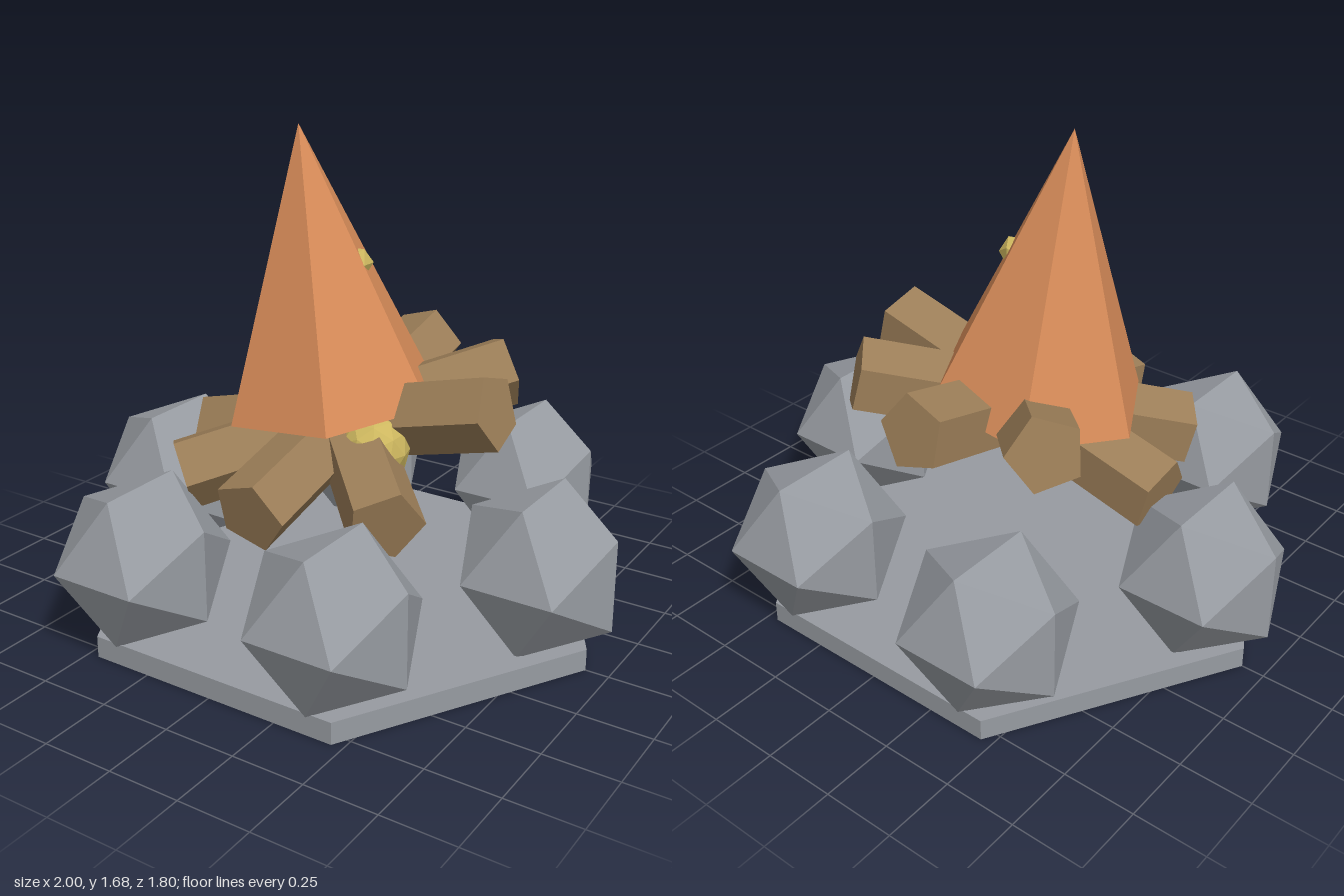
import * as THREE from 'three';

const mat = (name, color) => {
  const m = new THREE.MeshStandardMaterial({ color, flatShading: true });
  m.name = name;
  return m;
};

export function createModel() {
  const stone = mat('stone grey', 0x979ba1);
  const wood = mat('wood brown', 0x9c7e58);
  const fire = mat('flame orange', 0xd88c59);
  const glow = mat('ember yellow', 0xcdb75f);

  const group = new THREE.Group();
  group.name = 'campfire';
  const add = (name, geometry, material, x, y, z) => {
    const mesh = new THREE.Mesh(geometry, material);
    mesh.name = name;
    mesh.position.set(x, y, z);
    group.add(mesh);
    return mesh;
  };

  // Hexagonal slab with corners on the x axis
  const slab = new THREE.CylinderGeometry(0.92, 0.92, 0.075, 6).rotateY(Math.PI / 6);
  add('baseSlab', slab, stone, 0, 0.0375, 0);

  // Ring of six stones, all turned the same way
  const rock = new THREE.IcosahedronGeometry(0.3).rotateY(Math.PI / 2);
  for (let i = 0; i < 6; i++) {
    const a = (i * Math.PI) / 3;
    add('ringStone', rock, stone, 0.745 * Math.cos(a), 0.322, 0.745 * Math.sin(a));
  }

  // Four crossed five-sided logs, each tilted up at one end
  const log = new THREE.CylinderGeometry(0.13, 0.13, 1.17, 5).rotateZ(-Math.PI / 2 + 0.25);
  for (let i = 0; i < 4; i++) {
    add('log', log, wood, 0, 0.678, 0).rotation.y = (i * Math.PI) / 4;
  }

  // Leaning six-sided flame, set between its base centre and its tip
  const foot = new THREE.Vector3(-0.06, 0.743, -0.005);
  const tip = new THREE.Vector3(-0.155, 1.68, 0.05);
  const axis = tip.clone().sub(foot);
  const cone = new THREE.ConeGeometry(0.382, axis.length(), 6).rotateY(Math.PI / 6);
  const middle = foot.clone().lerp(tip, 0.5);
  const flame = add('flame', cone, fire, middle.x, middle.y, middle.z);
  flame.quaternion.setFromUnitVectors(new THREE.Vector3(0, 1, 0), axis.normalize());

  // Ember under the flame and a spark just breaking its side
  add('ember', new THREE.IcosahedronGeometry(0.12, 1), glow, 0.185, 0.655, 0.125);
  add('spark', new THREE.IcosahedronGeometry(0.055), glow, 0.035, 1.235, -0.005);

  return group;
}
